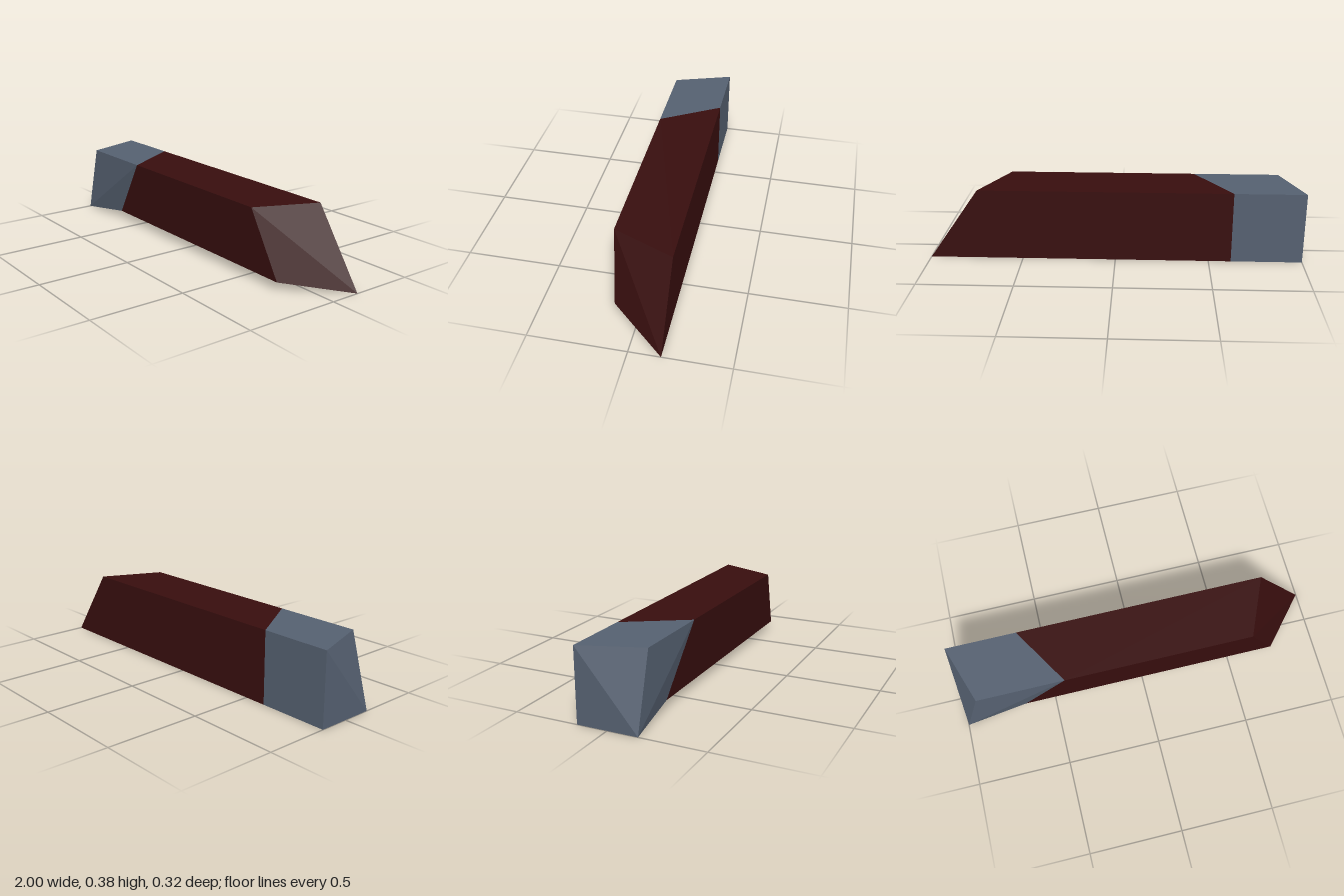
import * as THREE from 'three';

// Cross-sections along x; corners: back bottom, front bottom, front top, back top
const Z = 0.16, H = 0.385;
const leftEnd = [[-1, 0, -Z], [-1, 0, Z], [-0.89, H, Z], [-1, H, -Z]];
const seam = [[-0.62, 0, -Z], [-0.665, 0.045, 0.128], [-0.425, H, Z], [-0.62, H, -Z]];
const rightEnd = [[1, 0, -Z], [0.75, 0.045, 0.128], [0.59, H, Z], [0.73, H, -Z]];

// A list of four-cornered faces, each split along its first-to-third diagonal
function facesMesh(name, quads, material) {
  const points = quads.flatMap(([p, q, r, s]) => [p, q, r, p, r, s]).flat();
  const geometry = new THREE.BufferGeometry();
  geometry.setAttribute('position', new THREE.Float32BufferAttribute(points, 3));
  geometry.computeVertexNormals();
  const mesh = new THREE.Mesh(geometry, material);
  mesh.name = name;
  return mesh;
}

// Bottom, front, top and back faces between two cross-sections
function sides(a, b) {
  return a.map((_, i) => {
    const j = (i + 1) % 4;
    return i === 0 ? [a[j], a[i], b[i], b[j]] : [a[i], b[i], b[j], a[j]];
  });
}

export function createModel() {
  const steel = new THREE.MeshStandardMaterial({ color: 0x556070 });
  steel.name = 'slate grey';
  const grip = new THREE.MeshStandardMaterial({ color: 0x380e0e });
  grip.name = 'dark red';

  const group = new THREE.Group();
  group.name = 'bevelledBar';

  // Flared grey end with its angled cap
  const [lbb, lfb, lft, lbt] = leftEnd;
  group.add(facesMesh('greyEnd', [...sides(leftEnd, seam), [lfb, lft, lbt, lbb]], steel));

  // Long red body with its sloping cap
  const [rbb, rfb, rft, rbt] = rightEnd;
  group.add(facesMesh('redBody', [...sides(seam, rightEnd), [rbb, rbt, rft, rfb]], grip));

  return group;
}
